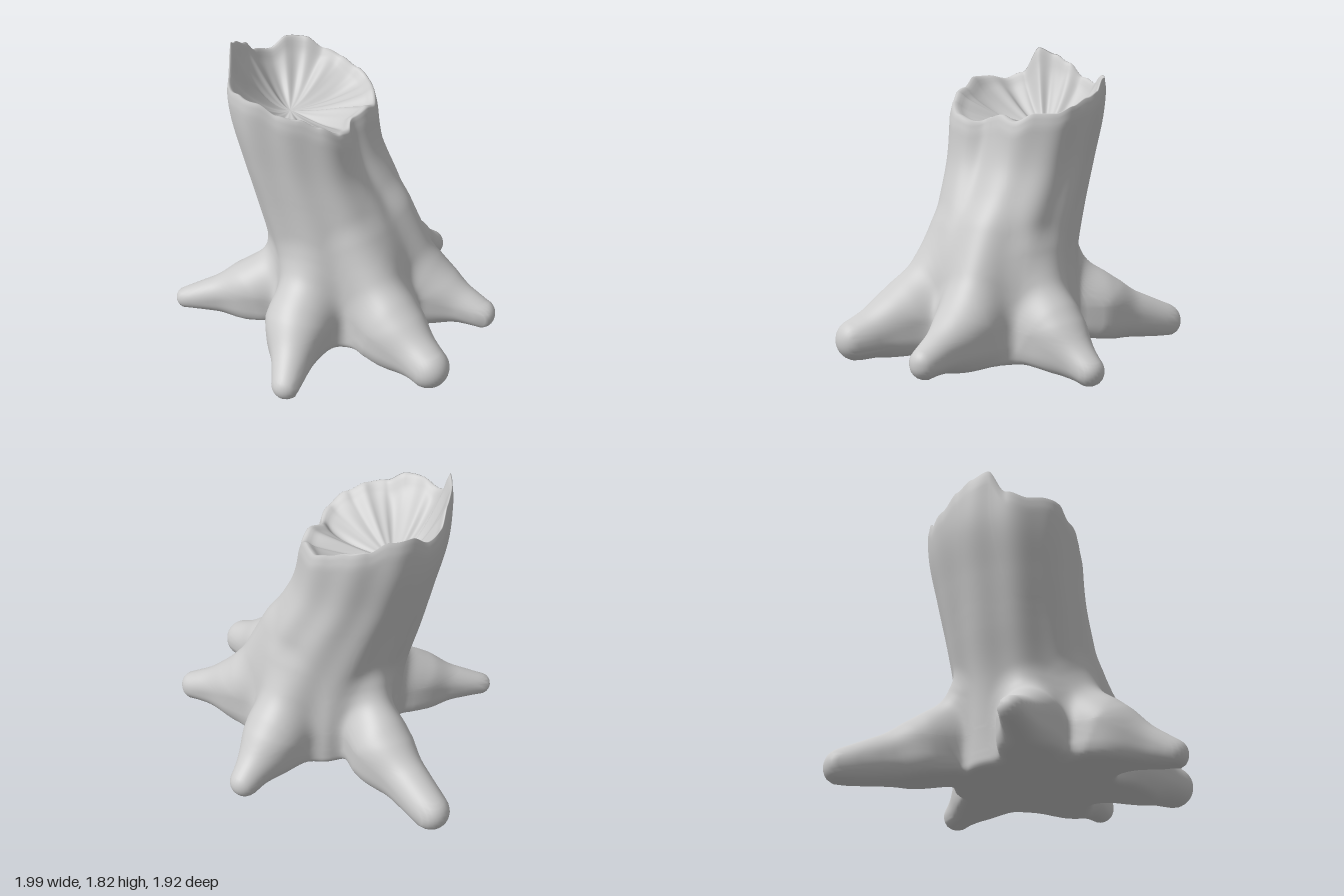
import * as THREE from 'three';

const V2 = (x, y) => new THREE.Vector2(x, y);
const V3 = (x, y, z) => new THREE.Vector3(x, y, z);
const { lerp, clamp, smoothstep } = THREE.MathUtils;
const DEG = Math.PI / 180;
const SEG = 320, UNDER = 60, WALL = 70, BOWL = 24;
const HEIGHT = 1.8, ORIGIN_Y = 0.3;

// leaning trunk: centre (x, z) and radii (x, z) every 0.3 in height
const centre = new THREE.SplineCurve([
  V2(0.06, -0.02), V2(0.04, -0.03), V2(0.0, -0.035), V2(-0.09, -0.05),
  V2(-0.2, -0.065), V2(-0.26, -0.08), V2(-0.275, -0.085)]);
const radii = new THREE.SplineCurve([
  V2(0.49, 0.5), V2(0.475, 0.475), V2(0.465, 0.445), V2(0.45, 0.435),
  V2(0.41, 0.44), V2(0.415, 0.46), V2(0.41, 0.46)]);

// roots: [x, y, z, radius, downward web] of the ridge on the trunk, the base and the tip
const roots = [
  [[-0.28, 0.55, -0.34, 0.09, 0.3], [-0.37, 0.29, -0.51, 0.15, 0.1], [-0.7, 0.115, -0.85, 0.112, 0]],
  [[0.18, 0.65, -0.32, 0.1, 0.3], [0.28, 0.28, -0.5, 0.15, 0.1], [0.41, 0.115, -0.765, 0.092, 0]],
  [[0.28, 0.78, -0.08, 0.11, 0.4], [0.54, 0.32, -0.07, 0.15, 0.1], [0.905, 0.205, 0.0, 0.088, 0.01]],
  [[0.18, 0.72, 0.22, 0.11, 0.3], [0.43, 0.31, 0.39, 0.16, 0.1], [0.7, 0.195, 0.575, 0.125, 0]],
  [[-0.12, 0.58, 0.28, 0.1, 0.3], [-0.13, 0.28, 0.5, 0.16, 0.1], [-0.08, 0.11, 0.865, 0.09, 0]],
  [[-0.32, 0.45, 0.13, 0.1, 0.3], [-0.5, 0.28, 0.21, 0.14, 0.1], [-0.93, 0.168, 0.335, 0.07, 0]],
];
const limbs = roots.flatMap(root => [0, 1].map(i => ({
  start: V3(...root[i]), dir: V3(...root[i + 1]).sub(V3(...root[i])),
  r1: root[i][3], r2: root[i + 1][3], web1: root[i][4], web2: root[i + 1][4],
})));

// torn rim height every 15 degrees, from +x towards +z
const rimHeights = [1.48, 1.46, 1.43, 1.46, 1.53, 1.58, 1.6, 1.66, 1.66, 1.64, 1.68, 1.84,
  1.8, 1.75, 1.66, 1.63, 1.69, 1.68, 1.61, 1.58, 1.54, 1.5, 1.5, 1.45];
function rimAt(angle) {
  const f = angle / (15 * DEG), i = Math.floor(f), n = rimHeights.length;
  return lerp(rimHeights[i % n], rimHeights[(i + 1) % n], smoothstep(f - i, 0, 1));
}

function smoothMin(a, b, k) {
  const h = Math.max(k - Math.abs(a - b), 0) / k;
  return Math.min(a, b) - h * h * k * 0.25;
}

// distance to the fluted trunk blended with the tapered roots
const q = V3(0, 0, 0);
function distance(p) {
  const t = clamp(p.y / HEIGHT, 0, 1);
  const c = centre.getPoint(t), r = radii.getPoint(t);
  const x = (p.x - c.x) / r.x, z = (p.z - c.y) / r.y, a = Math.atan2(z, x);
  // squarer towards the top, with one deep groove at the front left
  const upper = smoothstep(p.y, 0.6, 1.45);
  const groove = 0.19 * Math.exp(-(((a - 18 * DEG) / (12 * DEG)) ** 2));
  const flute = 1 + upper * (0.03 * (1 - Math.cos(4 * a)) - groove)
    + 0.012 * Math.cos(11 * a + 2 * p.y) + 0.01 * Math.cos(5 * a - 4);
  let d = (Math.hypot(x, z) - flute) * Math.min(r.x, r.y);
  for (const { start, dir, r1, r2, web1, web2 } of limbs) {
    if (p.y > 1.3) break;
    q.subVectors(p, start);
    const h = clamp(q.dot(dir) / dir.lengthSq(), 0, 1);
    q.addScaledVector(dir, -h);
    if (q.y < 0) q.y = Math.min(q.y + lerp(web1, web2, h), 0);
    d = smoothMin(d, q.length() - lerp(r1, r2, h), 0.15);
  }
  // flat underside that drops a little towards the tips
  const floor = lerp(0.085, 0.01, smoothstep(Math.hypot(p.x, p.z), 0.5, 0.95));
  return -smoothMin(-d, p.y - floor, 0.05);
}

// walk from an inner point to the surface
function surfacePoint(origin, dir) {
  const p = origin.clone();
  for (let i = 0; i < 90; i++) {
    const d = distance(p);
    if (Math.abs(d) < 0.0005) break;
    p.addScaledVector(dir, -d * 0.75);
  }
  return p;
}

function stumpGeometry() {
  const spine = y => {
    const c = centre.getPoint(clamp(y / HEIGHT, 0, 1));
    return V3(c.x, y, c.y);
  };
  const columns = [];
  for (let j = 0; j < SEG; j++) {
    const a = j / SEG * Math.PI * 2, cos = Math.cos(a), sin = Math.sin(a), rim = rimAt(a);
    const column = [];
    // underside, fanned from straight down to level
    for (let i = 0; i < UNDER; i++) {
      const phi = -Math.PI / 2 * (1 - i / UNDER) ** 1.6;
      column.push(surfacePoint(spine(ORIGIN_Y),
        V3(cos * Math.cos(phi), Math.sin(phi), sin * Math.cos(phi))));
    }
    // roots and wall up to the rim, which curls in slightly
    for (let i = 0; i <= WALL; i++) {
      const y = lerp(ORIGIN_Y, rim, (i / WALL) ** 1.5), middle = spine(y);
      const curl = 0.025 * smoothstep(y, rim - 0.08, rim + 0.01);
      column.push(surfacePoint(middle, V3(cos, 0, sin)).lerp(middle, curl));
    }
    // creased hollow, steep at the rim and flatter towards its middle
    const edge = column[column.length - 1], bottom = V3(-0.37, 1.36, -0.15);
    for (let i = 1; i <= BOWL; i++) {
      const t = (i / BOWL) ** 1.3, p = edge.clone().lerp(bottom, t);
      const crease = Math.cos(5 * a + 1) + 0.6 * Math.cos(9 * a) + 0.3 * Math.cos(19 * a + 2);
      p.y = lerp(edge.y, bottom.y, 1 - (1 - t) ** 1.8)
        + 0.015 * Math.exp(-(((t - 0.05) / 0.05) ** 2))
        + 0.12 * t * (1 - t) ** 2 * crease;
      column.push(p);
    }
    columns.push(column);
  }

  const rows = columns[0].length, pos = [], index = [];
  for (const column of columns) for (const p of column) pos.push(p.x, p.y, p.z);
  for (let j = 0; j < SEG; j++) {
    const k = (j + 1) % SEG;
    for (let i = 0; i < rows - 1; i++) {
      const a = j * rows + i, b = k * rows + i;
      if (i < rows - 2) index.push(a, a + 1, b + 1);
      if (i > 0) index.push(a, b + 1, b);
    }
  }
  const g = new THREE.BufferGeometry();
  g.setAttribute('position', new THREE.Float32BufferAttribute(pos, 3));
  g.setIndex(index);

  // centre on the ground
  g.computeBoundingBox();
  const box = g.boundingBox, mid = box.getCenter(V3());
  g.translate(-mid.x, -box.min.y, -mid.z);
  g.computeVertexNormals();
  return g;
}

export function createModel() {
  const group = new THREE.Group();
  group.name = 'treeStump';
  const material = new THREE.MeshStandardMaterial({ color: 0xcccccc });
  const stump = new THREE.Mesh(stumpGeometry(), material);
  stump.name = 'trunkWithRoots';
  group.add(stump);
  return group;
}
